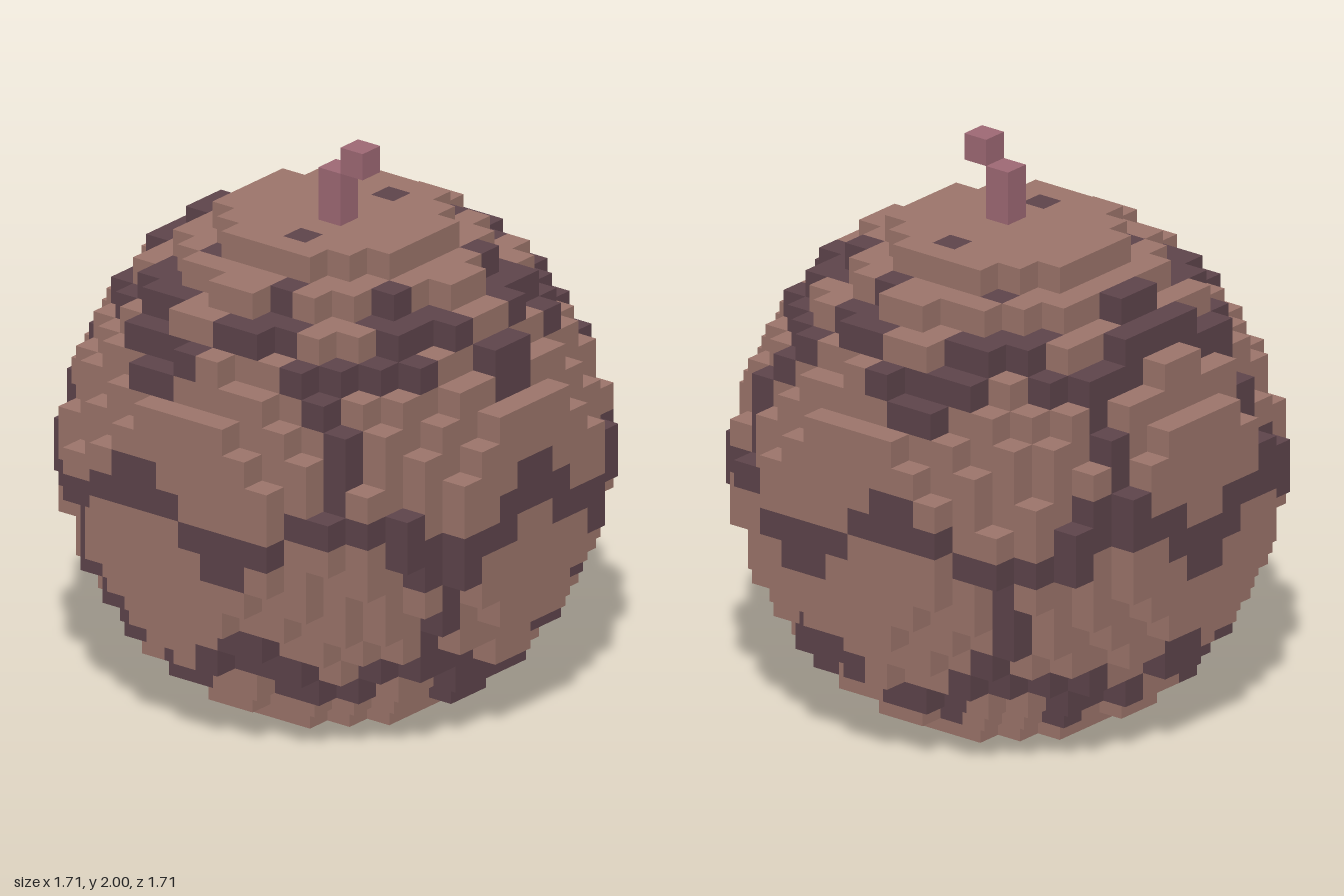
import * as THREE from 'three';
import { mergeGeometries } from 'three/addons/utils/BufferGeometryUtils.js';

const S = 2 / 21;      // cube edge
const LIMIT = 88;      // squared ball radius in cubes

// Dark cubes on the front, upper half: row -> columns (mirrored to the back)
const FRONT = {
  16: [-6, 1, 4], 15: [-7, -5, -4, -3, 0, 1, 2, 5, 6], 14: [-7, -6, -4, -3, -2, -1, 3, 4, 7],
  13: [-3, -2, 4], 12: [-8, 5], 11: [5], 10: [-9, -8, -3, -2, 5],
  9: [-9, -8, -4, -3, -2, -1, 4, 5, 6, 7],
};
// Dark cubes on the +x side: row -> distance from the middle plane
const SIDE = {
  16: [2], 15: [1, 2, 3, 6], 14: [0, 3, 4, 6], 13: [0, 6], 12: [6], 11: [6], 10: [0],
  9: [0, 1, 5, 6, 7], 8: [1, 2, 3, 4, 5, 8], 7: [3, 4], 6: [3], 5: [3], 4: [3, 7],
  3: [1, 2, 3, 4, 6, 7], 2: [1, 2, 4, 5], 1: [0],
};
// Dark cubes on the top: distance from the middle plane -> columns
const TOP = {
  0: [-7, -6, 7], 1: [-7, 5, 6], 2: [-7, 0, 4, 5], 3: [-7, -5, -3, 4, 5],
  4: [-6, -5, -4, 1, 5], 5: [-4, -3, 1, 2, 4], 6: [-4, -3, 0, 1, 3, 4, 5], 7: [-3, -2, -1, 5],
};

const inBall = (i, j, k) =>
  (i + 0.5) ** 2 + (j - 8.5) ** 2 + (k + 0.5) ** 2 <= LIMIT;

// The marking repeats under a half turn about z and a mirror in z
function isDark(i, j, k) {
  const x = i + 0.5, y = j - 8.5, z = Math.abs(k + 0.5);
  const depth = z - 0.5;
  const ax = Math.abs(x), ay = Math.abs(y);
  const has = (map, key, value) => (map[key] || []).includes(value);
  if (z >= ax && z >= ay) return y > 0 ? has(FRONT, j, i) : has(FRONT, 17 - j, -1 - i);
  if (ay >= ax) return y > 0 ? has(TOP, depth, i) : has(TOP, depth, -1 - i);
  return x > 0 ? has(SIDE, j, depth) : has(SIDE, 17 - j, depth);
}

// One square face template per direction
const half = Math.PI / 2;
const DIRS = [
  { d: [0, 0, 1], r: [0, 0] }, { d: [0, 0, -1], r: [0, Math.PI] },
  { d: [1, 0, 0], r: [0, half] }, { d: [-1, 0, 0], r: [0, -half] },
  { d: [0, 1, 0], r: [-half, 0] }, { d: [0, -1, 0], r: [half, 0] },
].map(({ d, r }) => ({
  d,
  face: new THREE.PlaneGeometry(S, S).rotateX(r[0]).rotateY(r[1])
    .translate(d[0] * S / 2, d[1] * S / 2, d[2] * S / 2),
}));

// Outer faces of a set of cubes; solid() tells which neighbours are filled
function cubeFaces(cells, solid) {
  const faces = [];
  for (const [i, j, k] of cells) {
    for (const { d, face } of DIRS) {
      if (solid(i + d[0], j + d[1], k + d[2])) continue;
      faces.push(face.clone().translate((i + 0.5) * S, (j + 0.5) * S, (k + 0.5) * S));
    }
  }
  return mergeGeometries(faces);
}

function material(name, color) {
  const m = new THREE.MeshStandardMaterial({ color });
  m.name = name;
  return m;
}

export function createModel() {
  const model = new THREE.Group();
  model.name = 'blockyFruit';

  const add = (name, geometry, mat) => {
    const mesh = new THREE.Mesh(geometry, mat);
    mesh.name = name;
    model.add(mesh);
  };

  // Ball of cubes, sorted into skin and markings
  const light = [], dark = [];
  for (let i = -9; i < 9; i++)
    for (let j = 0; j < 18; j++)
      for (let k = -9; k < 9; k++) {
        if (!inBall(i, j, k)) continue;
        if (DIRS.every(({ d }) => inBall(i + d[0], j + d[1], k + d[2]))) continue;
        (isDark(i, j, k) ? dark : light).push([i, j, k]);
      }
  add('skin', cubeFaces(light, inBall), material('dusty brown', 0x9e766c));
  add('markings', cubeFaces(dark, inBall), material('dark plum', 0x5f454c));

  // Bent stem: two cubes up, one stepped to the side
  const stem = [[0, 18, 0], [0, 19, 0], [1, 20, 0]];
  const inStem = (i, j, k) => j === 17 || stem.some(c => c[0] === i && c[1] === j && c[2] === k);
  add('stem', cubeFaces(stem, inStem), material('rose', 0xa06a76));

  return model;
}
